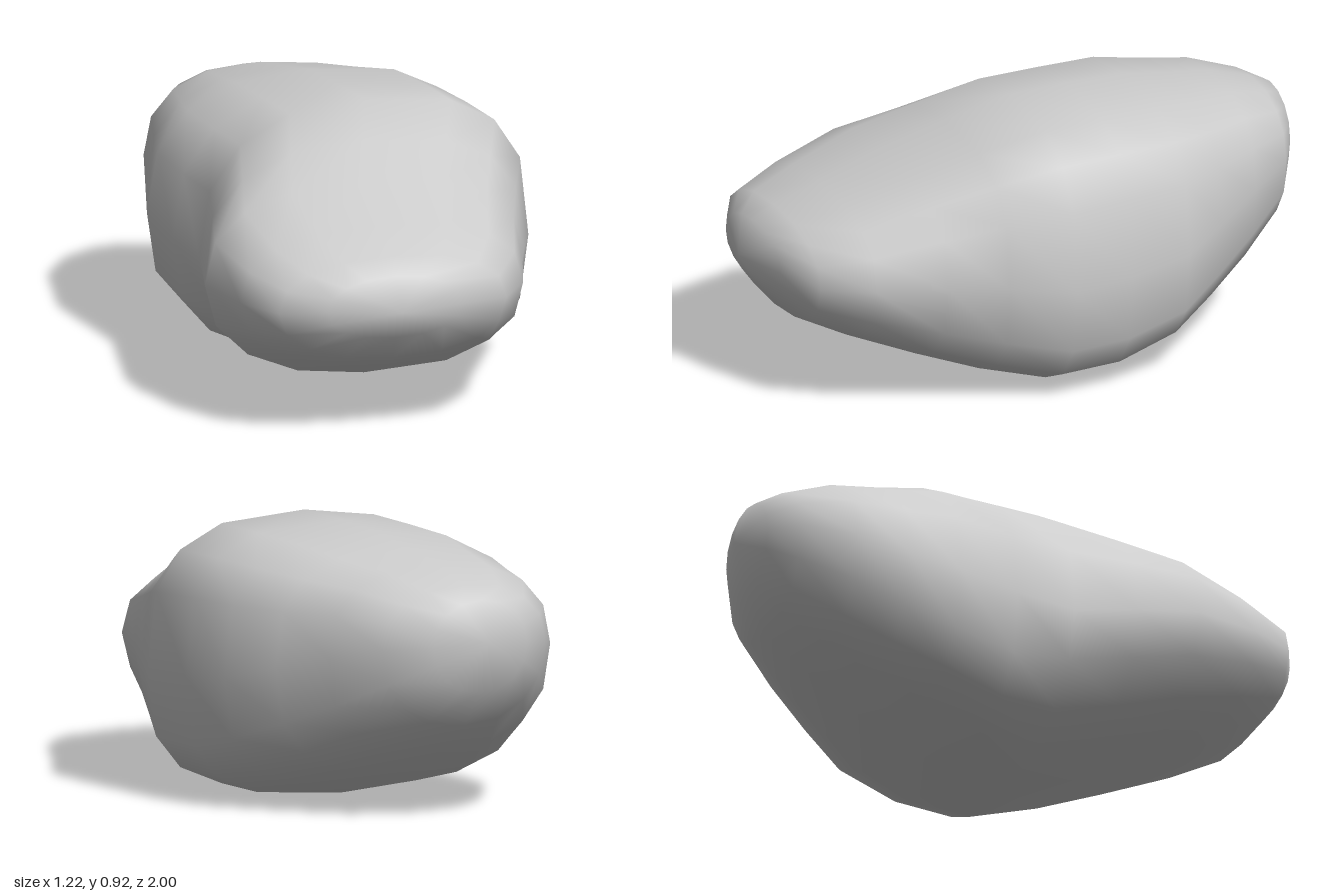
import * as THREE from 'three';
import { mergeVertices } from 'three/addons/utils/BufferGeometryUtils.js';

const SIDES = 16;

// Cross-sections from front tip to back tip:
// [z, xMin, xMax, yMin, yMax, yWidest, squareness, lowerLeftSquareness]
const SECTIONS = [
  [1.00, -0.07, -0.07, 0.45, 0.45, 0.45, 2.0, 2.0],
  [0.94, -0.31, 0.15, 0.35, 0.56, 0.45, 2.2, 2.2],
  [0.87, -0.46, 0.32, 0.26, 0.61, 0.44, 2.3, 2.2],
  [0.71, -0.55, 0.42, 0.19, 0.67, 0.44, 2.5, 2.2],
  [0.48, -0.61, 0.48, 0.10, 0.76, 0.44, 2.7, 2.2],
  [0.28, -0.565, 0.54, 0.04, 0.84, 0.43, 2.9, 2.1],
  [0.07, -0.52, 0.61, 0.00, 0.92, 0.41, 3.0, 2.1],
  [-0.15, -0.55, 0.57, 0.00, 0.915, 0.42, 3.1, 2.7],
  [-0.37, -0.58, 0.53, 0.06, 0.905, 0.45, 3.0, 2.9],
  [-0.54, -0.54, 0.42, 0.13, 0.87, 0.50, 2.8, 2.6],
  [-0.71, -0.50, 0.30, 0.21, 0.84, 0.55, 2.6, 2.4],
  [-0.87, -0.41, 0.18, 0.32, 0.79, 0.59, 2.3, 2.2],
  [-0.95, -0.31, 0.03, 0.44, 0.75, 0.60, 2.1, 2.1],
  [-1.00, -0.15, -0.15, 0.61, 0.61, 0.61, 2.0, 2.0],
];

// Rounded, slightly boxy ring; the upper left corner is always softer
function ringPoint([z, xMin, xMax, yMin, yMax, yWide, square, lowerLeft], k) {
  const angle = (k / SIDES) * Math.PI * 2;
  const c = Math.cos(angle), s = Math.sin(angle);
  const n = c > 0 ? square : s > 0 ? Math.min(square, 2.4) : lowerLeft;
  const u = Math.sign(c) * Math.abs(c) ** (2 / n);
  const v = Math.sign(s) * Math.abs(s) ** (2 / n);
  const height = v > 0 ? yMax - yWide : yWide - yMin;
  return [(xMin + xMax) / 2 + (u * (xMax - xMin)) / 2, yWide + v * height, z];
}

function boulderGeometry() {
  const positions = SECTIONS.flatMap((section) =>
    Array.from({ length: SIDES }, (_, k) => ringPoint(section, k)).flat());
  const index = [];
  const last = SECTIONS.length - 2;
  for (let i = 0; i <= last; i++) {
    for (let k = 0; k < SIDES; k++) {
      const a = i * SIDES + k, b = i * SIDES + ((k + 1) % SIDES);
      const c = a + SIDES, d = b + SIDES;
      // The tips are single points, so each gets only one triangle per side
      if (i > 0) index.push(a, c, b);
      if (i < last) index.push(b, c, d);
      }
  }
  const geometry = new THREE.BufferGeometry();
  geometry.setAttribute('position', new THREE.Float32BufferAttribute(positions, 3));
  geometry.setIndex(index);
  const merged = mergeVertices(geometry, 1e-4);
  merged.computeVertexNormals();
  return merged;
}

export function createModel() {
  const group = new THREE.Group();
  group.name = 'rock';
  const boulder = new THREE.Mesh(
    boulderGeometry(), new THREE.MeshStandardMaterial({ color: 0xcccccc }));
  boulder.name = 'boulder';
  group.add(boulder);
  return group;
}
